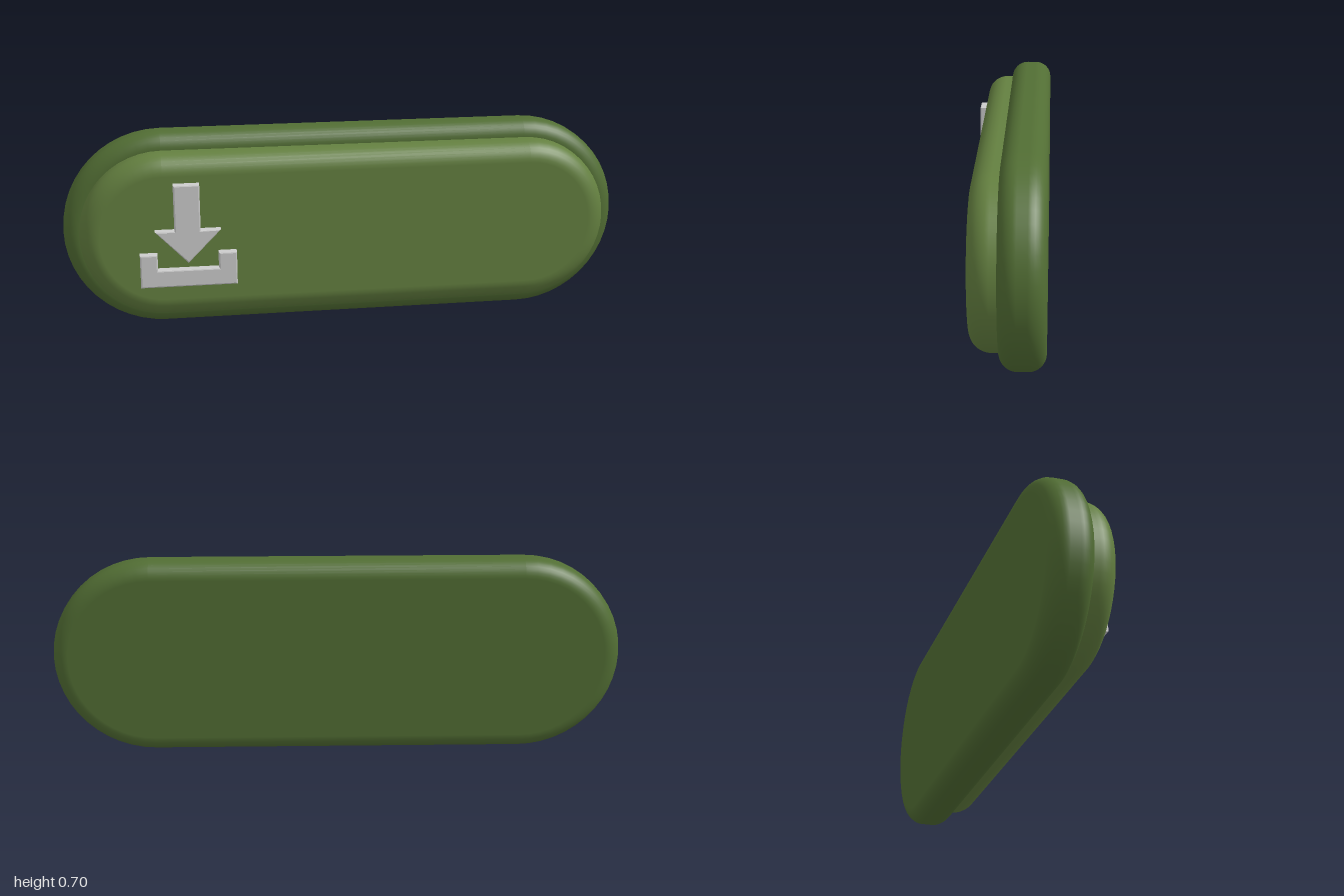
import * as THREE from 'three';

const SPAN = 0.65;   // half length of the straight run
const CY = 0.35;     // height of the centre line
const END = 24;      // segments per rounded end

// Capsule-shaped plate swept from profile points [radius, z, normalR, normalZ], back to front
function pillGeometry(profile) {
  const pos = [], nor = [], idx = [];
  const outline = [];
  for (const side of [1, -1]) {
    for (let i = 0; i <= END; i++) {
      const a = (side > 0 ? -Math.PI / 2 : Math.PI / 2) + (i / END) * Math.PI;
      outline.push([side * SPAN, Math.cos(a), Math.sin(a)]);
    }
  }
  const n = outline.length;
  for (const [r, z, nr, nz] of profile) {
    for (const [ox, c, s] of outline) {
      pos.push(ox + r * c, CY + r * s, z);
      nor.push(nr * c, nr * s, nz);
    }
  }
  for (let j = 0; j < profile.length - 1; j++) {
    for (let i = 0; i < n; i++) {
      const k = (i + 1) % n;
      const a = j * n + i, b = j * n + k, c = a + n, d = b + n;
      idx.push(a, b, d, a, d, c);
    }
  }
  const g = new THREE.BufferGeometry();
  g.setAttribute('position', new THREE.Float32BufferAttribute(pos, 3));
  g.setAttribute('normal', new THREE.Float32BufferAttribute(nor, 3));
  g.setIndex(idx);
  return g;
}

// Flat back, rounded rims (br = back rim, fr = front rim), flat front
function plateProfile(radius, back, front, br, fr) {
  const pts = [[0, back, 0, -1]];
  const steps = 8;
  const arc = (rim, zc, from) => {
    for (let i = 0; i <= steps; i++) {
      const t = from + (i / steps) * Math.PI / 2;
      pts.push([radius - rim + rim * Math.cos(t), zc + rim * Math.sin(t), Math.cos(t), Math.sin(t)]);
    }
  };
  arc(br, back + br, -Math.PI / 2);
  arc(fr, front - fr, 0);
  pts.push([0, front, 0, 1]);
  return pts;
}

// Raised symbol with a tiny softened edge
function raised(points) {
  const shape = new THREE.Shape(points.map(([x, y]) => new THREE.Vector2(x, y)));
  const bevel = 0.005;
  const g = new THREE.ExtrudeGeometry(shape, {
    depth: 0.037 - 2 * bevel, bevelEnabled: true, bevelThickness: bevel,
    bevelSize: bevel, bevelOffset: -bevel, bevelSegments: 2,
  });
  g.translate(0, 0, 0.1 + bevel);
  return g;
}

export function createModel() {
  const model = new THREE.Group();
  model.name = 'button';
  const add = (name, geometry, color) => {
    const mesh = new THREE.Mesh(geometry, new THREE.MeshStandardMaterial({ color }));
    mesh.name = name;
    model.add(mesh);
  };

  // Backing plate and the smaller raised face
  add('basePlate', pillGeometry(plateProfile(0.35, -0.137, 0.013, 0.058, 0.058)), 0x526e34);
  add('facePlate', pillGeometry(plateProfile(0.292, -0.06, 0.107, 0.01, 0.07)), 0x648040);

  // Downward arrow
  add('arrow', raised([
    [-0.57, 0.268], [-0.455, 0.385], [-0.525, 0.385], [-0.525, 0.548],
    [-0.615, 0.548], [-0.615, 0.385], [-0.683, 0.385],
  ]), 0xcccccc);

  // Open tray below the arrow
  add('tray', raised([
    [-0.737, 0.183], [-0.402, 0.183], [-0.402, 0.302], [-0.465, 0.302],
    [-0.465, 0.245], [-0.676, 0.245], [-0.676, 0.302], [-0.737, 0.302],
  ]), 0xcccccc);

  return model;
}
